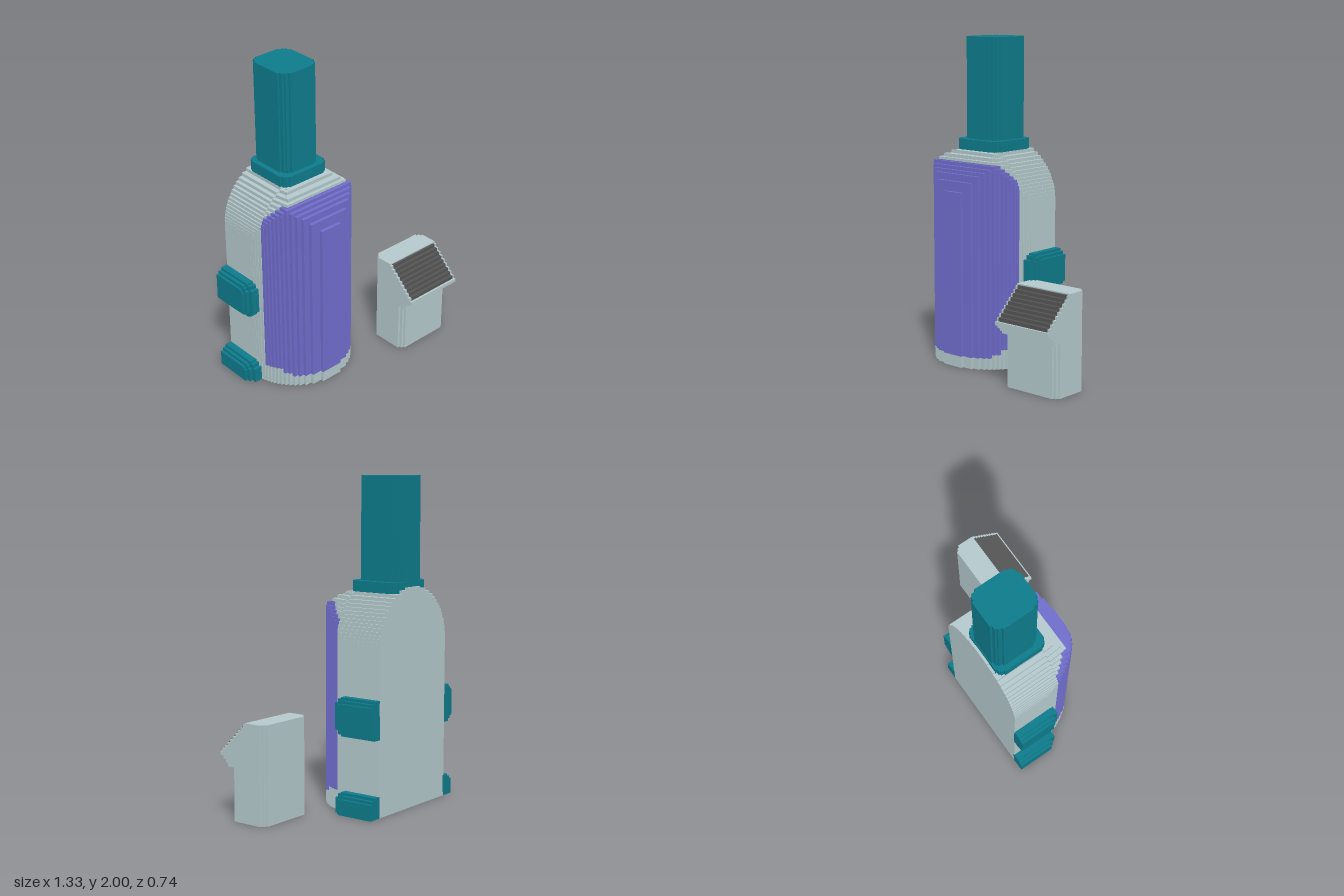
import * as THREE from 'three';

const mat = (name, color) => {
  const m = new THREE.MeshStandardMaterial({ color });
  m.name = name;
  return m;
};

const STEP = 0.0206;          // size of one stair step
const CX = -0.2425;           // centre line of the tank
const R = 0.3425;             // half width of the tank and radius of its arch
const ARCH_Y = 1.0;           // height where the arch begins
const ROUND_Z = -0.15;        // depth where the rounded front begins
const BACK = -0.37;

export function createModel() {
  const grey = mat('pale grey', 0xb4c9cc);
  const teal = mat('teal', 0x0e7b8b);
  const violet = mat('violet', 0x706dcd);
  const dark = mat('dark grey', 0x555555);

  const model = new THREE.Group();
  model.name = 'tankAndConsole';
  const group = (name) => {
    const g = new THREE.Group();
    g.name = name;
    model.add(g);
    return g;
  };
  const add = (parent, name, geo, material) => {
    const m = new THREE.Mesh(geo, material);
    m.name = name;
    parent.add(m);
    return m;
  };
  const extrude = (pts, depth) => new THREE.ExtrudeGeometry(
    new THREE.Shape(pts.map(([x, y]) => new THREE.Vector2(x, y))),
    { depth, bevelEnabled: false });
  const box = (parent, name, material, x0, x1, y0, y1, z0, z1) => {
    const g = new THREE.BoxGeometry(x1 - x0, y1 - y0, z1 - z0);
    g.translate((x0 + x1) / 2, (y0 + y1) / 2, (z0 + z1) / 2);
    return add(parent, name, g, material);
  };

  // Tank slice: a stepped arch outline, limited in width and height
  const tank = group('tank');
  const slice = (name, material, z0, z1, y0, y1, w) => {
    if (y1 - y0 < 0.004) return;
    const side = [];
    let last = -1;
    for (let y = y0; y < y1 - 1e-4;) {
      const next = y < ARCH_Y ? Math.min(ARCH_Y, y1) : Math.min(y + STEP, y1);
      const rise = Math.max(0, (y + next) / 2 - ARCH_Y);
      const half = Math.min(w, Math.sqrt(Math.max(0.0004, R * R - rise * rise)));
      if (Math.abs(half - last) > 1e-5) {
        if (last > 0) side.push([last, y]);
        side.push([half, y]);
        last = half;
      }
      y = next;
    }
    side.push([last, y1]);
    const left = side.map(([x, y]) => [-x, y]).reverse();
    const geo = extrude([...side, ...left], z1 - z0);
    geo.translate(CX, 0, z0);
    add(tank, name, geo, material);
  };

  // Rounded front, layer by layer, with the violet shell over most of it
  const LAYERS = 17, FRONT = 0.195;
  for (let i = 0; i < LAYERS; i++) {
    const z1 = FRONT - i * STEP, z0 = z1 - STEP, z = (z0 + z1) / 2;
    const d = Math.max(0, z - ROUND_Z);
    const reach = Math.sqrt(R * R - d * d);
    const top = ARCH_Y + Math.round(reach / STEP) * STEP * 0.995;
    if (i < 12) {
      const low = z > 0.1 ? 0.07 : z > 0.045 ? 0.09 : 0.12;
      const high = z > 0.045 ? Math.min(top, 1.25) : Math.min(top, 1.16 + (z + 0.04) * 1.06);
      slice('tankBase', grey, z0, z1, 0, low, reach);
      slice('frontShell', violet, z0, z1, low, high, reach);
      slice('tankShoulder', grey, z0, z1, high, top, reach);
    } else {
      slice('tankBody', grey, z0, z1, 0, top, reach);
    }
  }
  slice('tankBack', grey, BACK, FRONT - LAYERS * STEP, 0, ARCH_Y + R, R);

  // Chimney and its flange, with stepped corners
  const chimney = group('chimney');
  const column = (name, x0, x1, z0, z1, y0, y1, cut) => {
    const q = cut / 2;
    const corner = [[0, cut], [q / 2, cut], [q / 2, q], [q, q], [q, q / 2], [cut, q / 2], [cut, 0]];
    const a = corner.map(([u, v]) => [x0 + u, z0 + v]);
    const b = corner.map(([u, v]) => [x1 - u, z0 + v]).reverse();
    const c = corner.map(([u, v]) => [x1 - u, z1 - v]);
    const e = corner.map(([u, v]) => [x0 + u, z1 - v]).reverse();
    const geo = extrude([...a, ...b, ...c, ...e].map(([x, z]) => [x, -z]), y1 - y0);
    geo.rotateX(-Math.PI / 2);
    geo.translate(0, y0, 0);
    add(chimney, name, geo, teal);
  };
  column('chimneyFlange', -0.41, -0.075, -0.354, -0.017, 1.31, 1.376, 0.04);
  column('chimneyPipe', -0.377, -0.108, -0.35, -0.048, 1.37, 2.0, 0.05);

  // Side brackets: three stacked plates, each smaller than the last
  const brackets = group('sideBrackets');
  const plates = [[0.0, 0.387, 0, 0], [0.387, 0.408, 0.016, 0.028], [0.408, 0.425, 0.034, 0.05]];
  const bracket = (name, y0, y1, grounded, s) => {
    for (const [from, to, inset, back] of plates) {
      const lo = grounded ? y0 : y0 + inset, hi = y1 - inset;
      const f = -0.08 - back, c = 0.042 - inset * 0.6, h = c / 2;
      const lower = grounded && inset === 0 ? 0.0 : 0;
      const bottom = grounded ? [[f, lo + lower]]
        : [[f - c, lo], [f - c, lo + h / 2], [f - h, lo + h / 2], [f - h, lo + c - 0.006], [f, lo + c - 0.006]];
      const upper = [[f, hi - c + 0.006], [f - h, hi - c + 0.006], [f - h, hi - h / 2], [f - c, hi - h / 2], [f - c, hi]];
      const start = from || 0.335;
      const geo = extrude([[BACK, lo], ...bottom, ...upper, [BACK, hi]], to - start);
      // profile runs in z and y, thickness runs along x
      geo.rotateY(-Math.PI / 2);
      geo.translate(s > 0 ? CX + to : CX - start, 0, 0);
      add(brackets, name, geo, teal);
    }
  };
  for (const s of [-1, 1]) {
    bracket('upperBracket', 0.47, 0.705, false, s);
    bracket('footBracket', 0, 0.13, true, s);
  }

  // Console: side profile with a stepped sloping face, narrower end slices
  const console_ = group('console');
  const ROWS = 9, Y0 = 0.405, ROW = 0.02;
  const rowFront = (i) => 0.352 - i * 0.0206;
  const consoleSlice = (x0, x1, inset) => {
    const pts = [[0.033 + inset, 0], [0.29 - inset, 0], [0.29 - inset, 0.322]];
    [0.308, 0.326, 0.346, 0.368].forEach((z, i) => {
      const y = 0.322 + i * 0.02;
      pts.push([z, y], [z, i < 3 ? y + 0.02 : Y0]);
    });
    for (let i = 0; i < ROWS; i++) {
      pts.push([rowFront(i), Y0 + i * ROW], [rowFront(i), Y0 + (i + 1) * ROW]);
    }
    pts.push([0.175, 0.585], [0.175, 0.595], [0.033 + inset, 0.595]);
    const geo = extrude(pts, x1 - x0);
    geo.rotateY(-Math.PI / 2);
    geo.translate(x1, 0, 0);
    add(console_, 'consoleBody', geo, grey);
  };
  consoleSlice(0.264, 0.28, 0.031);
  consoleSlice(0.28, 0.297, 0.014);
  consoleSlice(0.297, 0.628, 0);
  consoleSlice(0.628, 0.645, 0.014);
  consoleSlice(0.645, 0.661, 0.031);

  // Dark slats covering the sloping face
  for (let i = 0; i < ROWS; i++) {
    box(console_, 'screenSlat', dark, 0.28, 0.645,
      Y0 + i * ROW, Y0 + (i + 1) * ROW + 0.003, rowFront(i) - 0.03, rowFront(i) + 0.003);
  }

  // Extruded z profiles were turned so that their depth points to -x; mirror-safe by construction
  return model;
}
